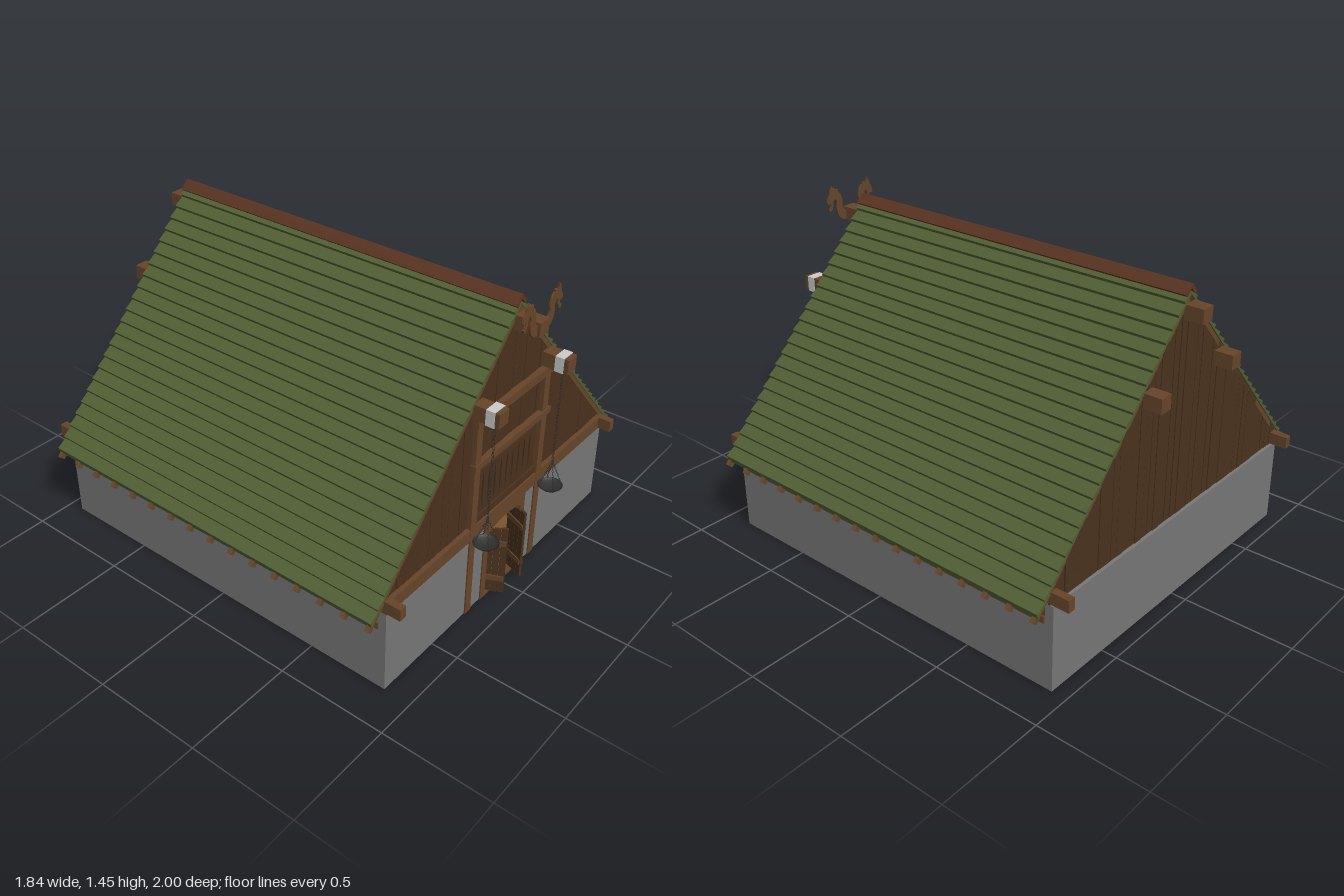
import * as THREE from 'three';

const mat = (c, side = THREE.FrontSide) => new THREE.MeshStandardMaterial({ color: c, side });

export function createModel() {
  const root = new THREE.Group();
  const stone = mat(0x777777), wood = mat(0x66452a), dark = mat(0x4a321e), plankMat = mat(0x7a5530);
  const green = mat(0x515f34), ridgeMat = mat(0x5c3522), iron = mat(0x30302e, THREE.DoubleSide), metal = mat(0xcccccc);

  const add = (name, geo, m, parent = root) => {
    const mesh = new THREE.Mesh(geo, m);
    mesh.name = name;
    parent.add(mesh);
    return mesh;
  };
  // Box given by its min and max corners
  const box = (name, x0, x1, y0, y1, z0, z1, m = wood, parent = root) => {
    const b = add(name, new THREE.BoxGeometry(x1 - x0, y1 - y0, z1 - z0), m, parent);
    b.position.set((x0 + x1) / 2, (y0 + y1) / 2, (z0 + z1) / 2);
    return b;
  };
  const group = (name) => {
    const g = new THREE.Group();
    g.name = name;
    root.add(g);
    return g;
  };
  const extrude = (shape, depth) => new THREE.ExtrudeGeometry(shape, { depth, bevelEnabled: false, curveSegments: 8 });
  const poly = (pts) => new THREE.Shape(pts.map(([x, y]) => new THREE.Vector2(x, y)));

  let seed = 7;
  const rand = () => (seed = (seed * 16807) % 2147483647) / 2147483647;

  const roofY = (x) => 1.375 - 1.1 * Math.abs(x);
  const slope = Math.atan(1.1);

  // Stone base and floor
  box('backWall', -0.82, 0.82, 0, 0.39, -0.93, -0.89, stone);
  box('floorSlab', -0.8, 0.8, 0.001, 0.006, -0.91, 0.86, mat(0x3a3a3a));
  for (let i = 0; i < 16; i++) box('floorPlank', -0.78, 0.78, 0.006, 0.01, -0.89 + i * 0.108, -0.786 + i * 0.108, plankMat);

  for (const s of [-1, 1]) {
    const span = (name, a, b, ...r) => box(name, Math.min(s * a, s * b), Math.max(s * a, s * b), ...r);
    span('frontWall', 0.14, 0.82, 0, 0.39, 0.835, 0.875, stone);
    span('sideWall', 0.78, 0.82, 0, 0.3, -0.89, 0.835, stone);
    span('wallPlate', 0.78, 0.826, 0.3, 0.33, -0.89, 0.84);
    span('eaveBeam', 0.785, 0.82, 0.395, 0.45, -1, 0.94);
    span('purlin', 0.22, 0.285, 0.99, 1.055, -1, 0.98);
    span('purlinBand', 0.217, 0.288, 0.987, 1.058, 0.92, 0.96, metal);
    span('frontPost', 0.23, 0.27, 0, 0.99, 0.84, 0.881);
    for (const z of [-0.25, 0.18]) span('column', 0.225, 0.275, 0, 1, z - 0.025, z + 0.025);

    // Rafters, wall posts and the slatted opening below the eaves
    for (let i = 0; i < 16; i++) {
      const z = -0.905 + i * 0.1173;
      const r = add('rafter', new THREE.BoxGeometry(1.365, 0.026, 0.02), wood);
      r.position.set(s * 0.45, roofY(0.45) - 0.019, z);
      r.rotation.z = -s * slope;
      if (i < 15) {
        span('eavePost', 0.785, 0.82, 0.33, 0.395, z + 0.015, z + 0.045);
        for (const d of [0.066, 0.09]) span('eaveSlat', 0.795, 0.81, 0.33, 0.395, z + d, z + d + 0.008, dark);
      }
      if (i % 3 === 1) span('innerPost', 0.755, 0.782, 0, 0.3, z, z + 0.04);
    }

    // Roof slope with stepped shingle rows
    const rows = 23, pts = [[0, roofY(0) - 0.008]];
    for (let i = 0; i < rows; i++) {
      const a = (i / rows) * 0.9, b = ((i + 1) / rows) * 0.9;
      pts.push([s * a, roofY(a) + 0.003], [s * (b + 0.006), roofY(b) + 0.016]);
    }
    pts.push([s * 0.9, roofY(0.9) - 0.008]);
    add('shingleRoof', extrude(poly(pts), 1.79), green).position.z = -0.922;

    // Ridge cap board
    const cap = add('ridgeCap', new THREE.BoxGeometry(0.05, 0.016, 1.792), ridgeMat);
    cap.position.set(s * 0.015, 1.384, -0.026);
    cap.rotation.z = -s * slope;
  }
  box('ridgeBeam', -0.033, 0.033, 1.27, 1.332, -1, 0.975);
  for (const z of [-0.25, 0.18]) box('tieBeam', -0.28, 0.28, 0.94, 0.99, z - 0.02, z + 0.02);

  // Plank gables, with the window left open at the front
  for (const front of [true, false]) {
    const g = group(front ? 'frontGable' : 'backGable');
    const w = 0.041;
    for (let i = -20; i < 20; i++) {
      const gap = rand() < 0.3 ? 0.005 : 0;
      const x0 = i * w, x1 = x0 + w - gap;
      const inWindow = front && i >= -5 && i < 5;
      const strips = inWindow ? [[0.39, 0.48], [0.7, null]] : [[0.39, null]];
      for (const [lo, hi] of strips) {
        const y0 = hi ?? roofY(x0) - 0.01, y1 = hi ?? roofY(x1) - 0.01;
        const p = add('gablePlank', extrude(poly([[x0, lo], [x1, lo], [x1, y1], [x0, y0]]), 0.012), dark, g);
        p.position.z = (front ? 0.846 : -0.917) + rand() * 0.004;
      }
    }
  }

  // Window screen with lens-shaped slots
  const screen = poly([[-0.205, 0.48], [0.205, 0.48], [0.205, 0.7], [-0.205, 0.7]]);
  for (let i = 0; i < 9; i++) {
    const x = -0.176 + i * 0.044, slot = new THREE.Path();
    slot.moveTo(x, 0.49);
    slot.quadraticCurveTo(x + 0.014, 0.59, x, 0.69);
    slot.quadraticCurveTo(x - 0.014, 0.59, x, 0.49);
    screen.holes.push(slot);
  }
  add('windowScreen', extrude(screen, 0.015), dark).position.z = 0.85;

  // Front timbers
  box('frontBeam', -0.82, 0.82, 0.39, 0.45, 0.835, 0.88);
  box('upperRail', -0.275, 0.285, 0.945, 0.985, 0.845, 0.887);
  box('lowerRail', -0.275, 0.29, 0.74, 0.768, 0.845, 0.887);
  box('windowSill', -0.23, 0.23, 0.45, 0.485, 0.845, 0.872, dark);

  // Arched door frame and two leaves standing open inwards
  const frame = poly([[-0.155, 0], [0.155, 0], [0.155, 0.39], [-0.155, 0.39]]);
  const arch = new THREE.Path();
  arch.moveTo(-0.122, 0.014);
  arch.lineTo(0.122, 0.014);
  arch.lineTo(0.122, 0.345);
  arch.quadraticCurveTo(0, 0.39, -0.122, 0.345);
  arch.closePath();
  frame.holes.push(arch);
  add('doorFrame', extrude(frame, 0.05), wood).position.z = 0.831;
  for (const s of [-1, 1]) {
    const door = group(s > 0 ? 'leftDoor' : 'rightDoor');
    door.position.set(s * 0.12, 0, 0.835);
    door.rotation.y = s * 1.15;
    for (let i = 0; i < 4; i++) {
      const a = -s * (i * 0.03), b = -s * (i * 0.03 + 0.028);
      box('doorPlank', Math.min(a, b), Math.max(a, b), 0.016, 0.342 + i * 0.006, -0.012, 0, dark, door);
    }
    for (const y of [0.08, 0.27]) box('doorBatten', Math.min(0, -s * 0.115), Math.max(0, -s * 0.115), y, y + 0.025, -0.017, 0.005, wood, door);
  }

  // Carved beast heads on the ridge beam, turned outwards
  for (const s of [-1, 1]) {
    const p = (x, y) => new THREE.Vector2(s * x, y);
    const neck = new THREE.Shape([p(0.02, 1.28), p(0.05, 1.275)]);
    neck.splineThru([p(0.078, 1.3), p(0.088, 1.335), p(0.086, 1.365), p(0.095, 1.385)]);
    const head = [[0.108, 1.376], [0.108, 1.355], [0.117, 1.335], [0.13, 1.33], [0.138, 1.343], [0.127, 1.342],
      [0.121, 1.355], [0.122, 1.37], [0.133, 1.362], [0.142, 1.372], [0.136, 1.392], [0.126, 1.408],
      [0.121, 1.428], [0.109, 1.446], [0.108, 1.428], [0.095, 1.436], [0.096, 1.425], [0.075, 1.427], [0.078, 1.419]];
    head.forEach(([x, y]) => neck.lineTo(s * x, y));
    neck.splineThru([p(0.06, 1.4), p(0.051, 1.37), p(0.052, 1.345), p(0.043, 1.325), p(0.02, 1.318)]);
    add('beastHead', extrude(neck, 0.008), wood).position.z = 0.955;
  }

  // Hanging fire bowls on chains
  const link = new THREE.TorusGeometry(0.007, 0.0016, 4, 8);
  const chain = (from, to, g, scale) => {
    const n = Math.round(from.distanceTo(to) / (0.016 * scale));
    const dir = to.clone().sub(from).normalize();
    const q = new THREE.Quaternion().setFromUnitVectors(new THREE.Vector3(0, 1, 0), dir);
    const turn = new THREE.Quaternion().setFromAxisAngle(new THREE.Vector3(0, 1, 0), Math.PI / 2);
    for (let i = 0; i <= n; i++) {
      const l = add('chainLink', link, iron, g);
      l.position.lerpVectors(from, to, i / n);
      l.quaternion.copy(q);
      if (i % 2) l.quaternion.multiply(turn);
      l.scale.set(0.7 * scale, 1.3 * scale, 0.8 * scale);
    }
  };
  const bowlProfile = [[0, 0.385], [0.025, 0.388], [0.042, 0.397], [0.055, 0.409], [0.05, 0.409], [0.038, 0.4], [0, 0.394]]
    .map(([x, y]) => new THREE.Vector2(x, y));
  for (const s of [-1, 1]) {
    const g = group('hangingBowl');
    g.position.set(s * 0.25, 0, 0.943);
    add('bowl', new THREE.LatheGeometry(bowlProfile, 20), iron, g);
    const top = new THREE.Vector3(0, 0.53, 0);
    chain(top, new THREE.Vector3(0, 0.985, 0), g, 1);
    for (let i = 0; i < 4; i++) {
      const a = (i + 0.5) * Math.PI / 2;
      chain(top, new THREE.Vector3(Math.cos(a) * 0.05, 0.409, Math.sin(a) * 0.05), g, 0.7);
    }
  }
  return root;
}
